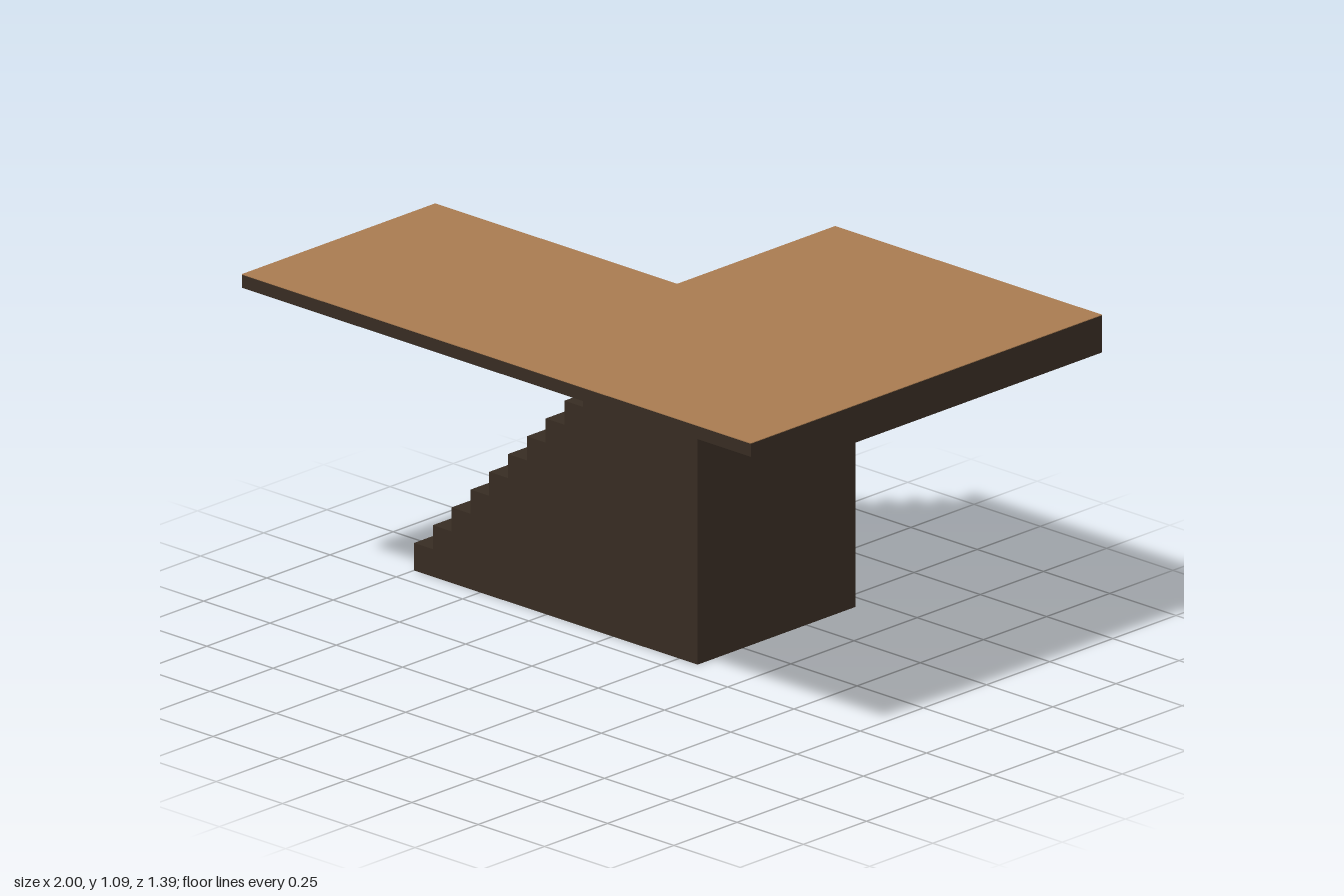
import * as THREE from 'three';

const darkWood = new THREE.MeshStandardMaterial({ color: 0x382d23 });
darkWood.name = 'dark wood';
const floorWood = new THREE.MeshStandardMaterial({ color: 0xab7d52 });
floorWood.name = 'floor wood';

// Main levels and edges
const TOP = 1.09, UNDER = 0.98, THIN = 1.05;
const BACK = -0.695, MID = -0.07, FRONT = 0.695;
const LEDGE = -0.007, WALL = 0.07, ARM = -0.92;

const shapeOf = (points) => new THREE.Shape(points.map(([x, y]) => new THREE.Vector2(x, y)));
const extrude = (points, depth) =>
  new THREE.ExtrudeGeometry(shapeOf(points), { depth, bevelEnabled: false });

function createPart(group, name, geometry, material = darkWood) {
  const mesh = new THREE.Mesh(geometry, material);
  mesh.name = name;
  group.add(mesh);
}

function boxBetween(x0, x1, y0, y1, z0, z1) {
  return new THREE.BoxGeometry(x1 - x0, y1 - y0, z1 - z0)
    .translate((x0 + x1) / 2, (y0 + y1) / 2, (z0 + z1) / 2);
}

export function createModel() {
  const model = new THREE.Group();
  model.name = 'stairPlatform';

  // Solid staircase: stepped outline with a short column under the landing
  const steps = 14, run = (LEDGE + 1) / steps;
  const outline = [[WALL, 0], [WALL, UNDER], [LEDGE, UNDER]];
  for (let i = steps - 1; i >= 0; i--) {
    const y = 0.08 + i * 0.07;
    outline.push([-1 + (i + 1) * run, y], [-1 + i * run, y]);
  }
  outline.push([-1, 0]);
  createPart(model, 'staircase', extrude(outline, MID - BACK).translate(0, 0, BACK));

  // Thick deck, its underside rising towards the front edge
  const slabTop = TOP - 0.002;
  const profile = [[BACK, UNDER], [0.35, UNDER], [FRONT, THIN], [FRONT, slabTop], [BACK, slabTop]];
  createPart(model, 'mainDeck', extrude(profile, 1 - WALL).rotateY(-Math.PI / 2).translate(1, 0, 0));

  // Thin deck reaching out beside the stairs, and the landing edge above them
  createPart(model, 'sideDeck', boxBetween(ARM, WALL, THIN, slabTop, MID, FRONT));
  createPart(model, 'landingEdge', boxBetween(LEDGE, WALL, UNDER, slabTop, BACK, MID));

  // L-shaped floor covering
  const floor = [[ARM, -FRONT], [1, -FRONT], [1, -BACK], [LEDGE, -BACK], [LEDGE, -MID], [ARM, -MID]];
  createPart(model, 'floor',
    extrude(floor, 0.002).rotateX(-Math.PI / 2).translate(0, slabTop, 0), floorWood);

  return model;
}
